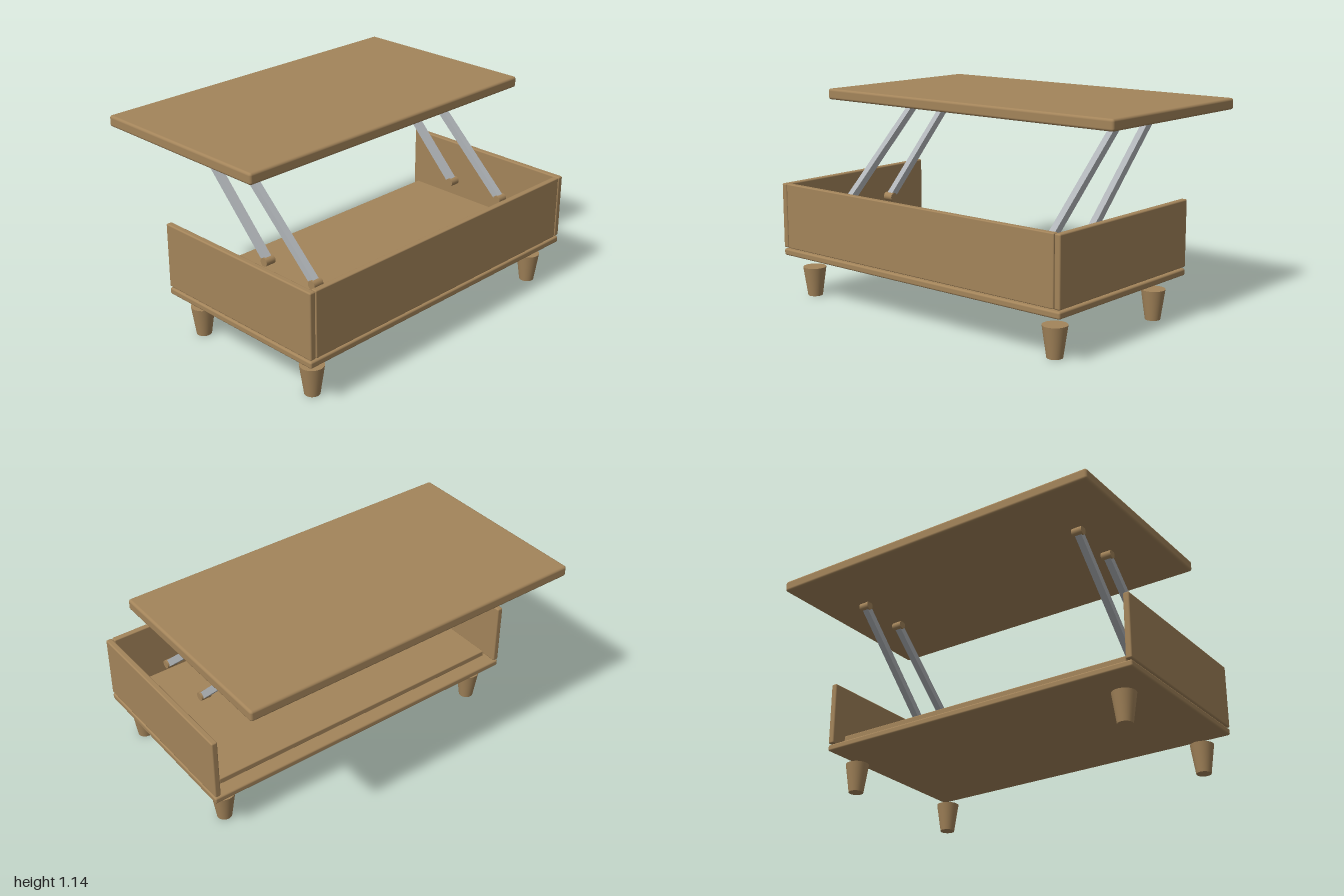
import * as THREE from 'three';
import { RoundedBoxGeometry } from 'three/addons/geometries/RoundedBoxGeometry.js';

export function createModel() {
  const table = new THREE.Group();
  table.name = 'liftTopTable';

  const wood = new THREE.MeshStandardMaterial({ color: 0xa3845a });
  wood.name = 'wood';
  const metal = new THREE.MeshStandardMaterial({ color: 0xafb3b7 });
  metal.name = 'metal';

  const add = (name, geometry, material, x, y, z) => {
    const mesh = new THREE.Mesh(geometry, material);
    mesh.name = name;
    mesh.position.set(x, y, z);
    table.add(mesh);
    return mesh;
  };

  // Board with eased edges, given by its min and max corners
  const board = (name, [x0, y0, z0], [x1, y1, z1], radius) => add(
    name,
    new RoundedBoxGeometry(x1 - x0, y1 - y0, z1 - z0, 3, radius),
    wood, (x0 + x1) / 2, (y0 + y1) / 2, (z0 + z1) / 2,
  );

  board('tableTop', [-1, 1.078, -0.745], [1, 1.14, 0.37], 0.014);
  board('bottomBoard', [-0.98, 0.235, -0.335], [0.98, 0.272, 0.745], 0.01);
  board('innerShelf', [-0.915, 0.295, -0.275], [0.915, 0.33, 0.685], 0.006);
  board('frontPanel', [-0.942, 0.28, 0.712], [0.942, 0.645, 0.745], 0.006);

  for (const side of [-1, 1]) {
    const label = side > 0 ? 'left' : 'right';
    const cx = side * 0.9625;
    board(label + 'SidePanel', [cx - 0.0175, 0.28, -0.335], [cx + 0.0175, 0.645, 0.745], 0.008);

    // Tapered feet
    for (const [end, z] of [['Front', 0.627], ['Back', -0.213]]) {
      add(label + end + 'Leg', new THREE.CylinderGeometry(0.065, 0.041, 0.165, 32),
        wood, side * 0.862, 0.0825, z);
    }

    // Parallel lifting arms with a pivot at each end
    const x = side * 0.72;
    for (const [end, zLow, zHigh] of [['Front', 0.51, -0.072], ['Back', 0.16, -0.368]]) {
      const low = new THREE.Vector3(x, 0.515, zLow);
      const high = new THREE.Vector3(x, 1.06, zHigh);
      const mid = low.clone().add(high).multiplyScalar(0.5);
      const arm = add(label + end + 'Arm',
        new THREE.BoxGeometry(0.038, low.distanceTo(high), 0.038), metal, mid.x, mid.y, mid.z);
      arm.rotation.x = Math.atan2(zHigh - zLow, high.y - low.y);
      for (const [place, p] of [['Lower', low], ['Upper', high]]) {
        const pivot = add(label + end + place + 'Pivot',
          new THREE.CylinderGeometry(0.024, 0.024, 0.06, 16), wood, p.x, p.y, p.z);
        pivot.rotation.z = Math.PI / 2;
      }
    }
  }

  return table;
}
